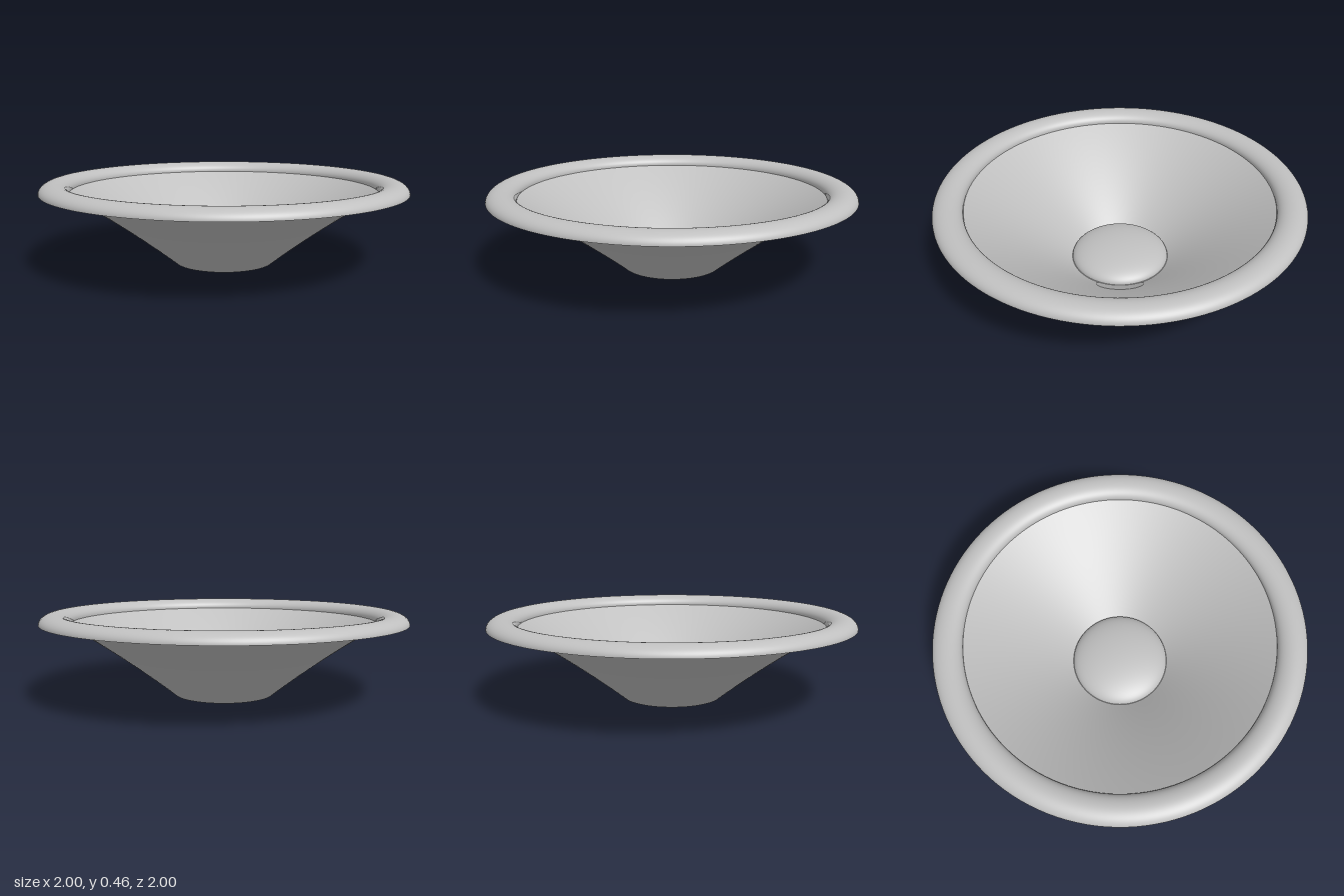
import * as THREE from 'three';

const SEGMENTS = 128;

// Points along an elliptical arc, from angle a to angle b
function arc(cx, cy, rx, ry, a, b, n) {
  return Array.from({ length: n + 1 }, (_, i) => {
    const t = a + ((b - a) * i) / n;
    return new THREE.Vector2(Math.max(0, cx + rx * Math.cos(t)), cy + ry * Math.sin(t));
  });
}

export function createModel() {
  const model = new THREE.Group();
  const grey = new THREE.MeshStandardMaterial({ color: 0xc0c0c0, side: THREE.DoubleSide });
  grey.name = 'light grey';

  const addLathe = (name, points) => {
    const mesh = new THREE.Mesh(new THREE.LatheGeometry(points, SEGMENTS), grey);
    mesh.name = name;
    model.add(mesh);
  };

  // Slightly flared cone, as a thin shell
  const flare = new THREE.QuadraticBezierCurve(
    new THREE.Vector2(0.275, 0),
    new THREE.Vector2(0.54, 0.215),
    new THREE.Vector2(0.84, 0.405)
  );
  addLathe('cone', flare.getPoints(20));

  // Flat base closing the narrow end
  const base = new THREE.Mesh(new THREE.CircleGeometry(0.275, SEGMENTS), grey);
  base.name = 'base';
  base.rotation.x = Math.PI / 2;
  model.add(base);

  // Shallow domed dust cap inside the narrow end
  addLathe('dustCap', arc(0, 0.002, 0.273, 0.085, 0, Math.PI / 2, 24));

  // Half-roll surround, hollow underneath: outer skin, inner skin and edge rings
  const roll = [0.92, 0.41];
  addLathe('surroundTop', arc(...roll, 0.08, 0.053, 0, Math.PI, 28));
  addLathe('surroundUnderside', arc(...roll, 0.072, 0.045, Math.PI, 0, 28));
  for (const [name, inner, outer] of [['innerEdge', 0.84, 0.848], ['outerEdge', 0.992, 1]]) {
    addLathe(name, [new THREE.Vector2(inner, 0.41), new THREE.Vector2(outer, 0.41)]);
  }
  // Narrow collar joining the cone to the surround
  addLathe('collar', [new THREE.Vector2(0.84, 0.405), new THREE.Vector2(0.84, 0.41)]);

  return model;
}
